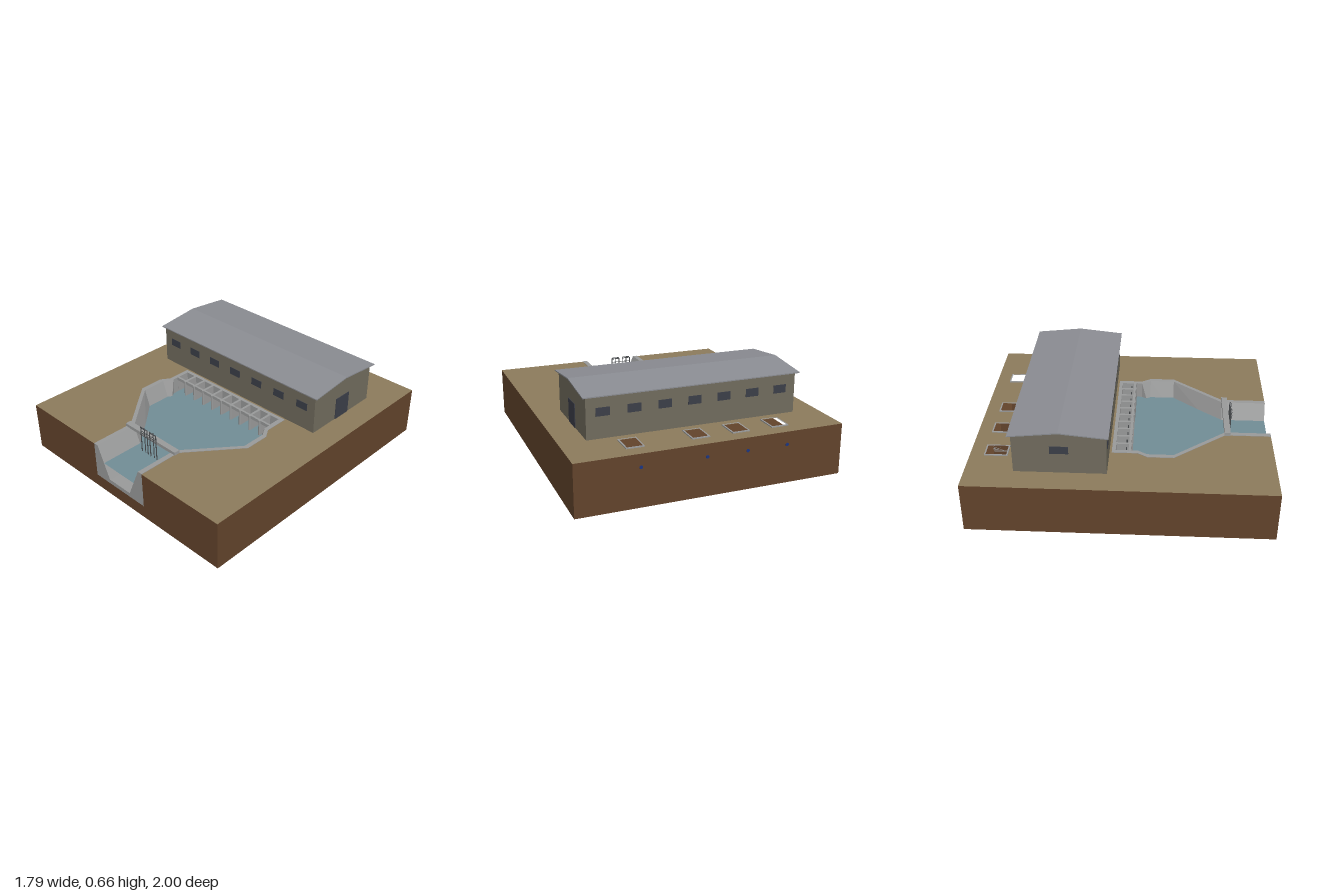
import * as THREE from 'three';

const mat = (color, side = THREE.FrontSide) => new THREE.MeshStandardMaterial({ color, side });
const grass = mat(0x8c7b5c), soil = mat(0x62432b), concrete = mat(0x999a9a), wallMat = mat(0x706b5d),
  roofMat = mat(0x8b8d93), dark = mat(0x3b3e48), water = mat(0x728d96, THREE.DoubleSide),
  blue = mat(0x1b3580), steel = mat(0x4a4d50);

const G = 0.345, FLOOR = 0.12, TOP = 0.348, WATER = 0.23;

function add(parent, name, geo, material, x = 0, y = 0, z = 0) {
  const m = new THREE.Mesh(geo, material);
  m.name = name;
  m.position.set(x, y, z);
  parent.add(m);
  return m;
}
// box given by its limits
const block = (p, name, m, x0, x1, y0, y1, z0, z1) =>
  add(p, name, new THREE.BoxGeometry(x1 - x0, y1 - y0, z1 - z0), m, (x0 + x1) / 2, (y0 + y1) / 2, (z0 + z1) / 2);

// round bar between two points
function bar(p, name, m, a, b, r) {
  const A = new THREE.Vector3(...a), B = new THREE.Vector3(...b), d = B.clone().sub(A);
  const mesh = add(p, name, new THREE.CylinderGeometry(r, r, d.length(), 12), m);
  mesh.position.copy(A).add(B).multiplyScalar(0.5);
  mesh.quaternion.setFromUnitVectors(new THREE.Vector3(0, 1, 0), d.normalize());
}

// plan outline of [x, z] points, raised by h
const planShape = pts => new THREE.Shape(pts.map(([x, z]) => new THREE.Vector2(x, -z)));
const slab = (shape, h) => new THREE.ExtrudeGeometry(shape, { depth: h, bevelEnabled: false }).rotateX(-Math.PI / 2);

// gable profile of [z, y] points, extruded along x
function alongX(pts, x0, x1) {
  const s = new THREE.Shape(pts.map(([z, y]) => new THREE.Vector2(-z, y)));
  return new THREE.ExtrudeGeometry(s, { depth: x1 - x0, bevelEnabled: false }).rotateY(Math.PI / 2).translate(x0, 0, 0);
}

// basin stations: z, outer x, inner x at top, inner x at floor
const stations = [
  [-0.07, 0.48, 0.455, 0.455], [0.1, 0.48, 0.45, 0.45], [0.165, 0.522, 0.49, 0.41],
  [0.34, 0.522, 0.49, 0.41], [0.69, 0.235, 0.2, 0.1], [1, 0.235, 0.2, 0.1],
];
const outline = f => [
  ...stations.map(s => [f(s), s[0]]),
  ...[...stations].reverse().map(s => [-f(s), s[0]]),
];

// lofted retaining wall along one side of the basin
function basinWall(side) {
  const rings = stations.map(([z, o, t, b]) =>
    [[o, 0.09], [o, TOP], [t, TOP], [b, FLOOR], [b, 0.09]].map(([x, y]) => [x * side, y, z]));
  const pos = [];
  const tri = (a, b, c) => pos.push(...a, ...(side > 0 ? b : c), ...(side > 0 ? c : b));
  for (let i = 0; i < rings.length - 1; i++) {
    for (let k = 0; k < 5; k++) {
      const n = (k + 1) % 5, r = rings[i], q = rings[i + 1];
      tri(r[k], r[n], q[n]);
      tri(r[k], q[n], q[k]);
    }
  }
  const end = rings[rings.length - 1];
  for (let k = 1; k < 4; k++) {
    tri(end[0], end[k], end[k + 1]);
    tri(rings[0][0], rings[0][k + 1], rings[0][k]);
  }
  const g = new THREE.BufferGeometry();
  g.setAttribute('position', new THREE.Float32BufferAttribute(pos, 3));
  g.computeVertexNormals();
  return g;
}

const rect = (x, z, w, d) => [[x - w / 2, z - d / 2], [x + w / 2, z - d / 2], [x + w / 2, z + d / 2], [x - w / 2, z + d / 2]];
const pitXs = [-0.495, -0.22, 0.053, 0.48], PZ = -0.828, PW = 0.12, PD = 0.156;

function buildGround(root) {
  const g = new THREE.Group();
  g.name = 'ground';
  root.add(g);
  block(g, 'soilBase', soil, -0.893, 0.893, 0, 0.09, -1, 1);
  const shape = planShape([
    [-0.893, -1], [0.893, -1], [0.893, 1],
    ...[...stations].reverse().map(s => [s[1], s[0]]),
    ...stations.map(s => [-s[1], s[0]]), [-0.893, 1],
  ]);
  for (const x of pitXs) shape.holes.push(planShape(rect(x, PZ, PW, PD)));
  add(g, 'soilBlock', slab(shape, G - 0.09), [grass, soil], 0, 0.09);
}

function buildBasin(root) {
  const g = new THREE.Group();
  g.name = 'intakeBasin';
  root.add(g);
  add(g, 'leftBasinWall', basinWall(1), concrete);
  add(g, 'rightBasinWall', basinWall(-1), concrete);
  add(g, 'basinFloor', slab(planShape(outline(s => s[3])), 0.03), concrete, 0, 0.09);
  const atWater = s => s[3] + (s[2] - s[3]) * (WATER - FLOOR) / (TOP - FLOOR);
  const surface = new THREE.ShapeGeometry(planShape(outline(atWater))).rotateX(-Math.PI / 2);
  add(g, 'waterSurface', surface, water, 0, WATER);

  // pump bays: back wall, front beam, piers with rounded noses
  block(g, 'bayBackWall', concrete, -0.456, 0.456, 0.1, TOP, -0.07, -0.045);
  block(g, 'bayFrontBeam', concrete, -0.456, 0.456, 0.325, TOP, 0.04, 0.056);
  const pitch = 0.0915;
  for (let i = 0; i <= 10; i++) {
    const x = (i - 5) * pitch - 0.002, w = 0.009;
    if (i > 0 && i < 10) {
      block(g, 'bayPier', concrete, x - w, x + w, FLOOR, TOP, -0.046, 0.054);
      add(g, 'pierNose', new THREE.CylinderGeometry(w, w, TOP - FLOOR, 16), concrete, x, (TOP + FLOOR) / 2, 0.054);
    } else block(g, 'bayEndPier', concrete, x - w, x + w, FLOOR, TOP, -0.046, 0.054);
    if (i === 10) break;
    // suction pipe with bell mouth, bending back into the wall
    const c = x + pitch / 2, y = 0.262;
    const path = new THREE.CurvePath();
    const v = (py, pz) => new THREE.Vector3(c, py, pz);
    path.add(new THREE.LineCurve3(v(0.14, -0.01), v(y - 0.014, -0.01)));
    path.add(new THREE.QuadraticBezierCurve3(v(y - 0.014, -0.01), v(y, -0.01), v(y, -0.024)));
    path.add(new THREE.LineCurve3(v(y, -0.024), v(y, -0.05)));
    add(g, 'suctionPipe', new THREE.TubeGeometry(path, 30, 0.009, 12), blue);
    add(g, 'suctionBell', new THREE.CylinderGeometry(0.009, 0.015, 0.014, 16), blue, c, 0.138, -0.01);
    bar(g, 'levelRod', steel, [c + 0.024, FLOOR, 0.024], [c + 0.024, 0.33, 0.024], 0.004);
  }
}

function buildGates(root) {
  const g = new THREE.Group();
  g.name = 'gateBridge';
  root.add(g);
  block(g, 'bridgeDeck', concrete, -0.24, 0.24, G, 0.368, 0.685, 0.726);
  block(g, 'closedGate', concrete, -0.08, -0.003, FLOOR, 0.22, 0.715, 0.722);
  // guide frames with arched tops
  for (const x of [-0.043, 0.043]) {
    for (const s of [-1, 1]) bar(g, 'guidePost', steel, [x + s * 0.03, FLOOR, 0.735], [x + s * 0.03, 0.42, 0.735], 0.0035);
    bar(g, 'frameTop', steel, [x - 0.03, 0.42, 0.735], [x + 0.03, 0.42, 0.735], 0.0035);
    bar(g, 'gateStem', steel, [x, 0.2, 0.731], [x, 0.425, 0.731], 0.003);
    const hoop = new THREE.TorusGeometry(0.03, 0.0025, 8, 20, Math.PI).rotateX(Math.PI / 2);
    for (const y of [0.425, 0.39]) add(g, 'guardHoop', hoop, steel, x, y, 0.735).scale.z = 0.35;
  }
  for (const y of [0.36, 0.392]) bar(g, 'tieRail', steel, [-0.073, y, 0.735], [0.073, y, 0.735], 0.002);
}

function buildHouse(root) {
  const g = new THREE.Group();
  g.name = 'pumpHouse';
  root.add(g);
  const zf = -0.085, zb = -0.685, zm = -0.385;
  add(g, 'houseWalls', alongX([[zf, G], [zf, 0.616], [zm, 0.65], [zb, 0.616], [zb, G]], -0.718, 0.716), wallMat);
  add(g, 'gableRoof', alongX([[-0.07, 0.617], [-0.07, 0.624], [zm, 0.657], [-0.706, 0.624], [-0.706, 0.617], [zm, 0.649]], -0.74, 0.738), roofMat);
  for (let i = -3; i <= 3; i++) {
    const x = i * 0.2025;
    for (const z of [zf, zb]) block(g, 'window', dark, x - 0.045, x + 0.045, 0.49, 0.545, z - 0.003, z + 0.003);
  }
  block(g, 'endWindow', dark, -0.722, -0.71, 0.49, 0.543, zm - 0.06, zm + 0.06);
  block(g, 'door', dark, 0.71, 0.72, G, 0.505, -0.455, -0.316);
}

function buildPits(root) {
  for (const x of pitXs) {
    const g = new THREE.Group();
    g.name = 'valvePit';
    root.add(g);
    // lined shaft with kerb and floor
    const lining = planShape(rect(x, PZ, PW, PD));
    lining.holes.push(planShape(rect(x, PZ, PW - 0.02, PD - 0.02)));
    add(g, 'pitLining', slab(lining, 0.352 - 0.2), concrete, 0, 0.2);
    block(g, 'pitFloor', concrete, x - PW / 2, x + PW / 2, 0.19, 0.202, PZ - PD / 2, PZ + PD / 2);
    bar(g, 'outletPipe', blue, [x, 0.26, -0.75], [x, 0.26, -1.003], 0.011);
    bar(g, 'valveFlange', blue, [x, 0.26, -0.82], [x, 0.26, -0.836], 0.015);
    bar(g, 'valveStem', blue, [x, 0.26, -0.828], [x, 0.29, -0.828], 0.005);
  }
}

export function createModel() {
  const root = new THREE.Group();
  root.name = 'pumpingStation';
  buildGround(root);
  buildBasin(root);
  buildGates(root);
  buildHouse(root);
  buildPits(root);
  return root;
}
